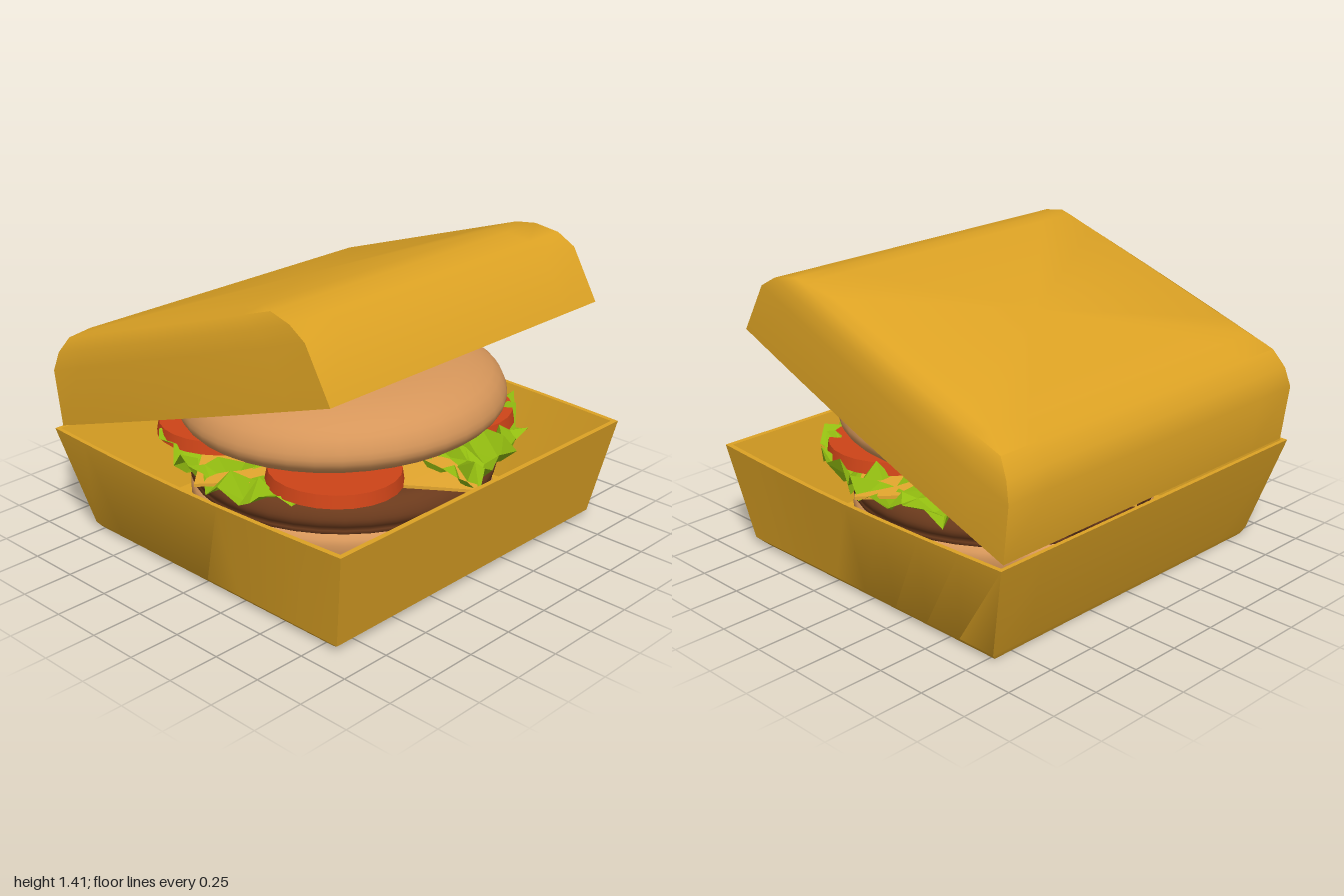
import * as THREE from 'three';
import { toCreasedNormals } from 'three/addons/utils/BufferGeometryUtils.js';

const mat = (name, color, extra = {}) => {
  const m = new THREE.MeshStandardMaterial({ color, ...extra });
  m.name = name;
  return m;
};

// small seeded random
function seeded(seed) {
  let s = seed;
  return () => (s = (s * 16807) % 2147483647) / 2147483647;
}

const STEPS = 8;

// four-sided loop, counter-clockwise from above, with gently bowed left and right sides
function ring({ y, back, front, wb, wf, bow = 0 }) {
  const corners = [[wf, front], [wb, back], [-wb, back], [-wf, front]];
  const pts = [];
  corners.forEach(([x0, z0], s) => {
    const [x1, z1] = corners[(s + 1) % 4];
    for (let i = 0; i < STEPS; i++) {
      const t = i / STEPS;
      const push = s % 2 === 0 ? bow * Math.sin(Math.PI * t) * Math.sign(x0) : 0;
      pts.push([x0 + (x1 - x0) * t + push, y, z0 + (z1 - z0) * t]);
    }
  });
  return pts;
}

// skin stretched over a list of loops of equal length
function loft(loops, closed = true) {
  const n = loops[0].length, index = [];
  for (let r = 0; r < loops.length - 1; r++) {
    for (let j = 0; j < (closed ? n : n - 1); j++) {
      const k = (j + 1) % n, a = r * n + j, b = r * n + k, c = a + n, d = b + n;
      index.push(a, b, d, a, d, c);
    }
  }
  const g = new THREE.BufferGeometry();
  g.setAttribute('position', new THREE.Float32BufferAttribute(loops.flat(2), 3));
  g.setIndex(index);
  g.computeVertexNormals();
  return g;
}

// crumpled leaf strip following an arc; angle 0 is +x and 90 degrees is the front
function leafGeometry(from, to, seed) {
  const rnd = seeded(seed), loops = [];
  const count = Math.round((to - from) / 5);
  const radii = [0.5, 0.62, 0.7, 0.78, 0.85];
  radii.forEach((rad, r) => {
    const loop = [];
    for (let j = 0; j <= count; j++) {
      const deg = from + ((to - from) * j) / count + (rnd() - 0.5) * 4;
      const a = THREE.MathUtils.degToRad(deg);
      const lift = 0.045 * Math.exp(-(((deg - 65) / 28) ** 2));
      const wave = r === 0 ? 0 : (rnd() - 0.5) * 0.13 + (j % 2 ? 0.02 : -0.02);
      const d = rad + (rnd() - 0.5) * 0.07;
      loop.push([d * Math.cos(a), 0.5 + lift + wave, 0.02 + d * Math.sin(a)]);
    }
    loops.push(loop);
  });
  return loft(loops, false);
}

export function createModel() {
  const model = new THREE.Group();
  model.name = 'boxedBurger';

  const card = mat('golden card', 0xdca224, { side: THREE.DoubleSide });
  const bread = mat('bread', 0xd6965a);
  const leaf = mat('lettuce green', 0x92bc10, { side: THREE.DoubleSide, flatShading: true });
  const red = mat('tomato red', 0xce4418);
  const yellow = mat('cheese yellow', 0xe3a62e, { side: THREE.DoubleSide });
  const brown = mat('patty brown', 0x6b3a1c);

  const add = (name, geometry, material, parent = model) => {
    const mesh = new THREE.Mesh(geometry, material);
    mesh.name = name;
    parent.add(mesh);
    return mesh;
  };

  // tray: underside, outer walls, rim, inner walls and floor in one skin
  const tray = [
    { y: 0, back: 0, front: 0.002, wb: 0.001, wf: 0.001 },
    { y: 0, back: -0.77, front: 0.79, wb: 0.85, wf: 0.85 },
    { y: 0.03, back: -0.785, front: 0.84, wb: 0.875, wf: 0.88 },
    { y: 0.51, back: -0.93, front: 0.935, wb: 0.972, wf: 0.955, bow: 0.036 },
    { y: 0.51, back: -0.91, front: 0.91, wb: 0.952, wf: 0.932, bow: 0.036 },
    { y: 0.04, back: -0.765, front: 0.81, wb: 0.855, wf: 0.855 },
    { y: 0.03, back: 0, front: 0.002, wb: 0.001, wf: 0.001 },
  ];
  add('tray', toCreasedNormals(loft(tray.map(ring)), 0.5), card);

  // lid: open shell with rounded top edges, hinged at the back rim
  const lidLoops = [
    { y: 0, back: 0, front: 1.815, wb: 0.94, wf: 0.885, bow: 0.015 },
    { y: 0.27, back: -0.005 + 0.06, front: 1.76, wb: 0.945, wf: 0.885, bow: 0.015 },
    { y: 0.35, back: 0.11, front: 1.69, wb: 0.93, wf: 0.88, bow: 0.015 },
    { y: 0.41, back: 0.19, front: 1.58, wb: 0.905, wf: 0.865, bow: 0.01 },
    { y: 0.435, back: 0.31, front: 1.5, wb: 0.86, wf: 0.83 },
    { y: 0.435, back: 0.9, front: 0.902, wb: 0.001, wf: 0.001 },
  ];
  const lid = add('lid', toCreasedNormals(loft(lidLoops.map(ring)), 0.75), card);
  lid.position.set(0, 0.52, -0.91);
  lid.rotation.x = -0.326;

  // buns and patty
  const lathe = (pts) => new THREE.LatheGeometry(
    new THREE.SplineCurve(pts.map(([x, y]) => new THREE.Vector2(x, y)))
      .getPoints(24).map((p) => p.setX(Math.max(0, p.x))), 40);
  const topBun = add('topBun', lathe([
    [0, -0.15], [0.5, -0.15], [0.69, -0.115], [0.775, -0.06], [0.785, 0.01],
    [0.72, 0.1], [0.53, 0.17], [0.22, 0.2], [0, 0.205],
  ]), bread);
  topBun.position.set(-0.005, 0.705, 0.03);
  topBun.rotation.set(-0.015, 0, 0.02);
  topBun.scale.z = 0.96;

  const bottomBun = add('bottomBun', lathe([
    [0, 0], [0.55, 0], [0.68, 0.05], [0.72, 0.14], [0.7, 0.24], [0.5, 0.25], [0, 0.25],
  ]), bread);
  bottomBun.position.set(0, 0.05, 0.02);

  const patty = add('patty', lathe([
    [0, 0], [0.65, 0], [0.72, 0.04], [0.74, 0.09], [0.7, 0.15], [0.6, 0.17], [0, 0.17],
  ]), brown);
  patty.position.set(0, 0.29, 0.02);

  // cheese slice turned so its corners poke out, drooping slightly
  const slice = new THREE.BoxGeometry(1.25, 0.015, 1.25, 8, 1, 8);
  const p = slice.attributes.position;
  for (let i = 0; i < p.count; i++) {
    const d = Math.hypot(p.getX(i), p.getZ(i));
    p.setY(i, p.getY(i) - 0.09 * Math.max(0, d - 0.6));
  }
  slice.computeVertexNormals();
  const cheese = add('cheese', slice, yellow);
  cheese.position.set(0, 0.505, 0.02);
  cheese.rotation.y = 0.72;

  // tomato slices
  const tomatoes = new THREE.Group();
  tomatoes.name = 'tomatoes';
  model.add(tomatoes);
  [[-0.44, 0.4], [0.44, 0.32], [0.42, -0.36], [-0.42, -0.36]].forEach(([x, z]) => {
    const t = add('tomatoSlice', new THREE.CylinderGeometry(0.3, 0.31, 0.06, 24), red, tomatoes);
    t.position.set(x, 0.535, z);
    t.rotation.z = x * 0.06;
  });

  // lettuce around the right, back and left, leaving a gap at the front
  const lettuce = new THREE.Group();
  lettuce.name = 'lettuce';
  model.add(lettuce);
  [[-75, 98, 11], [140, 255, 47]].forEach(([from, to, seed]) =>
    add('lettuceLeaf', leafGeometry(from, to, seed), leaf, lettuce));

  return model;
}
